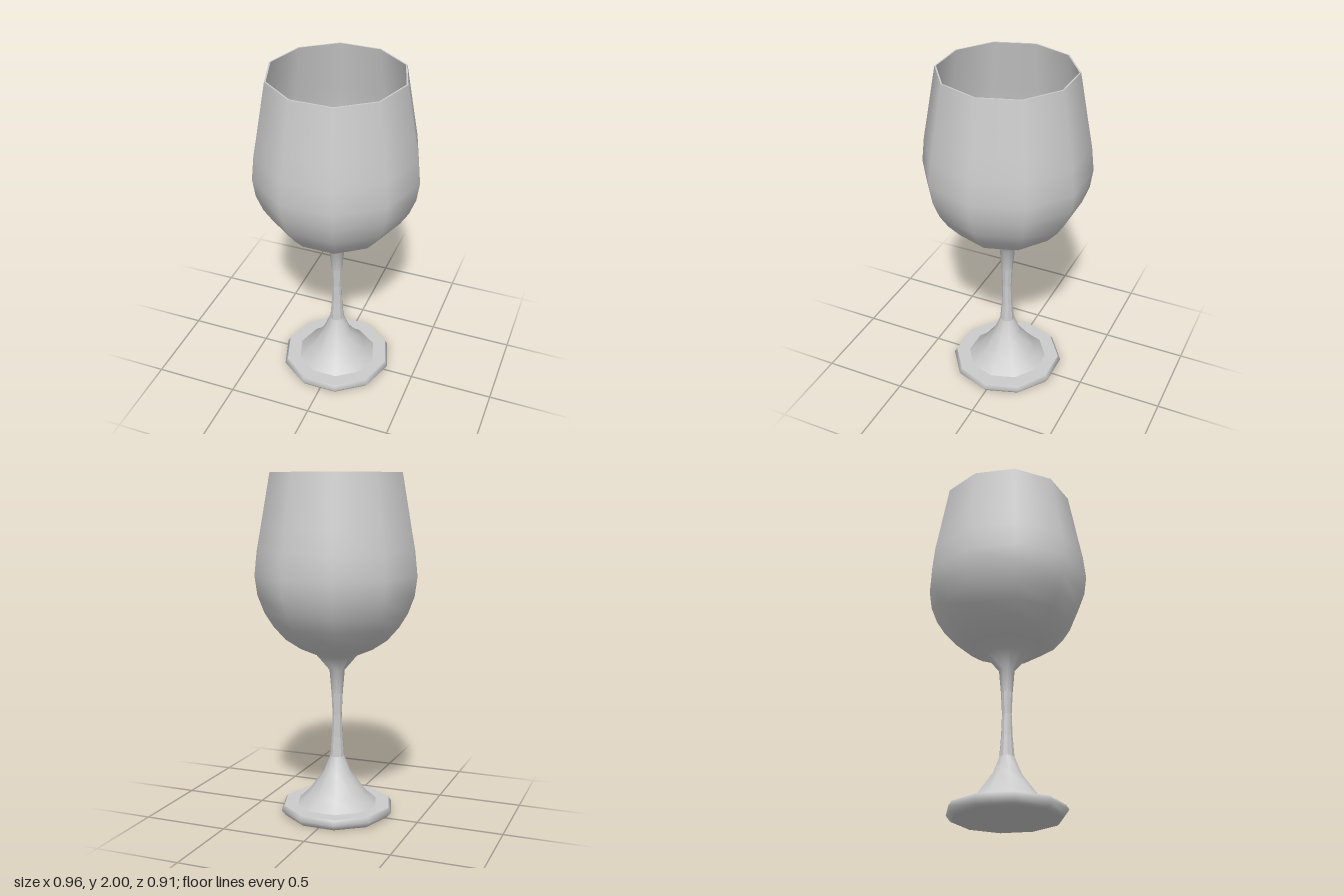
import * as THREE from 'three';

const SIDES = 10;

// Ten-sided turned surface with a corner on the x axis; profile is [radius, y] pairs
function turned(name, profile, flatShading = false) {
  const points = profile.map(([r, y]) => new THREE.Vector2(r, y));
  const geometry = new THREE.LatheGeometry(points, SIDES, Math.PI / 2);
  const material = new THREE.MeshStandardMaterial({ color: 0xcccccc, flatShading });
  const mesh = new THREE.Mesh(geometry, material);
  mesh.name = name;
  return mesh;
}

export function createModel() {
  const glass = new THREE.Group();
  glass.name = 'wineGlass';

  // Foot: flat underside, bevelled edge, flat top
  glass.add(turned('footUnderside', [[0, 0], [0.305, 0]]));
  glass.add(turned('footEdge', [[0.305, 0], [0.315, 0.007], [0.338, 0.037], [0.322, 0.065]]));
  glass.add(turned('footTop', [[0.322, 0.065], [0.23, 0.065]]));

  // Stem: flared base, faceted shaft
  glass.add(turned('stemFlare', [[0.24, 0.065], [0.175, 0.125], [0.083, 0.25], [0.043, 0.35]]));
  glass.add(turned('stemShaft', [[0.043, 0.35], [0.033, 0.47], [0.028, 0.6], [0.034, 0.73]], true));

  // Bowl: outer wall continuing from the stem, thin rim, inner wall
  glass.add(turned('bowlOutside', [
    [0.034, 0.73], [0.046, 0.87], [0.122, 0.96], [0.215, 1.0], [0.305, 1.06], [0.375, 1.14],
    [0.425, 1.22], [0.463, 1.32], [0.478, 1.43], [0.463, 1.57], [0.439, 1.7], [0.385, 2],
  ]));
  glass.add(turned('rim', [[0.385, 2], [0.376, 2]]));
  glass.add(turned('bowlInside', [
    [0.376, 2], [0.43, 1.7], [0.454, 1.57], [0.468, 1.43], [0.453, 1.325], [0.416, 1.228],
    [0.367, 1.15], [0.3, 1.072], [0.21, 1.012], [0.118, 0.975], [0, 0.965],
  ]));

  return glass;
}
